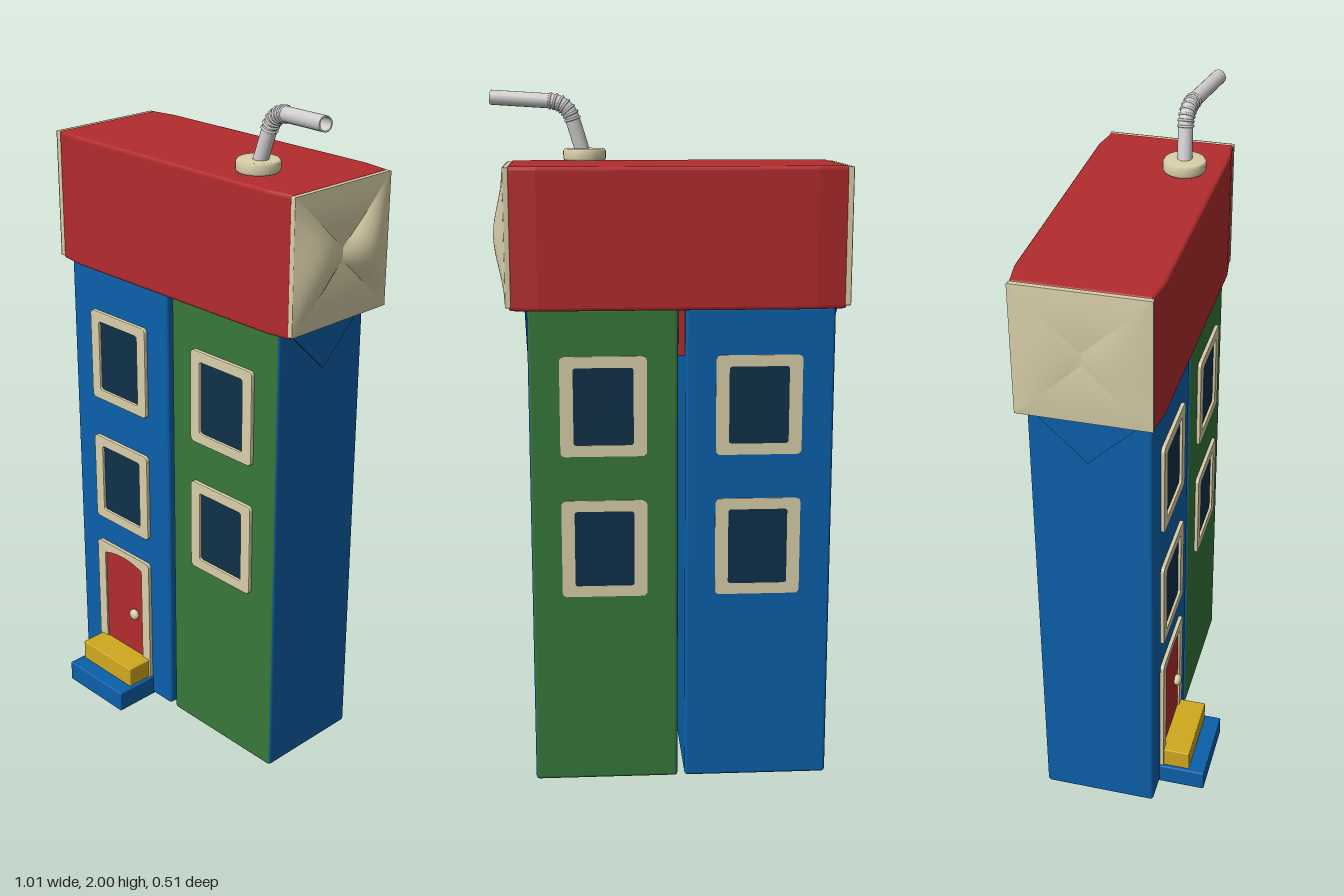
import * as THREE from 'three';
import { RoundedBoxGeometry } from 'three/addons/geometries/RoundedBoxGeometry.js';

const mat = (name, color) => new THREE.MeshStandardMaterial({ name, color });

export function createModel() {
  const red = mat('red', 0xb22b2d), blue = mat('blue', 0x0b60aa), green = mat('green', 0x36783a);
  const cream = mat('cream', 0xd9cfa9), yellow = mat('yellow', 0xd0a91f);
  const glass = mat('dark glass', 0x0f3048), grey = mat('straw grey', 0xd0cdcd);
  grey.side = THREE.DoubleSide;

  const model = new THREE.Group();
  model.name = 'cartonHouse';
  const add = (name, geo, material, parent = model) => {
    const m = new THREE.Mesh(geo, material);
    m.name = name;
    parent.add(m);
    return m;
  };
  // box given by its extents
  const box = (name, x0, x1, y0, y1, z0, z1, material, r = 0.004, parent = model) => {
    const m = add(name, new RoundedBoxGeometry(x1 - x0, y1 - y0, z1 - z0, 2, r), material, parent);
    m.position.set((x0 + x1) / 2, (y0 + y1) / 2, (z0 + z1) / 2);
    return m;
  };
  const roundRect = (S, w, h, r) => {
    const s = new S(), a = w / 2 - r, b = h / 2 - r;
    s.absarc(a, b, r, 0, Math.PI / 2);
    s.absarc(-a, b, r, Math.PI / 2, Math.PI);
    s.absarc(-a, -b, r, Math.PI, Math.PI * 1.5);
    s.absarc(a, -b, r, Math.PI * 1.5, Math.PI * 2);
    s.closePath();
    return s;
  };

  // two tall cartons: one all blue, one green with blue sides
  const zF = 0.115, zB = -0.225;
  box('blueCarton', -0.46, -0.038, 0.003, 1.41, zB, zF, blue, 0.01);
  box('greenCarton', -0.018, 0.402, 0.003, 1.41, zB, zF, [blue, blue, green, green, green, green], 0.01);

  // folded triangular flaps at the top of the carton sides
  const flap = (x, material) => {
    const s = new THREE.Shape();
    s.moveTo(-0.15, 1.41);
    s.lineTo(0, 1.265);
    s.lineTo(0.15, 1.41);
    s.closePath();
    const g = new THREE.ExtrudeGeometry(s, { depth: 0.008, bevelEnabled: false });
    g.translate(0, 0, -0.004).rotateY(Math.PI / 2);
    add('sideFlap', g, material).position.set(x, 0, -0.06);
  };
  flap(-0.462, blue);
  flap(0.404, blue);
  box('redGapFiller', -0.042, -0.014, 1.27, 1.41, -0.2, 0.09, red);

  // windows with raised frames
  const addWindow = (x, y, front) => {
    const w = new THREE.Group();
    w.name = 'window';
    const s = roundRect(THREE.Shape, 0.245, 0.287, 0.014);
    s.holes.push(roundRect(THREE.Path, 0.17, 0.222, 0.008));
    const depth = front ? 0.008 : 0.003;
    const bevel = 0.003;
    add('windowFrame', new THREE.ExtrudeGeometry(s, {
      depth, bevelEnabled: front, bevelThickness: bevel, bevelSize: bevel, bevelOffset: -bevel, bevelSegments: 2,
    }), cream, w);
    add('windowPane', new THREE.PlaneGeometry(0.178, 0.23), glass, w).position.z = 0.0025;
    w.position.set(x, y, front ? zF : zB);
    if (!front) w.rotation.y = Math.PI;
    model.add(w);
  };
  for (const x of [-0.247, 0.193])
    for (const y of [1.132, 0.716])
      for (const front of [true, false]) addWindow(x, y, front);

  // door with arched top, frame and knob
  const arch = (S) => {
    const s = new S();
    s.moveTo(-0.0875, 0.1);
    s.lineTo(0.0875, 0.1);
    s.lineTo(0.0875, 0.447);
    s.quadraticCurveTo(0, 0.478, -0.0875, 0.447);
    s.closePath();
    return s;
  };
  const door = new THREE.Group();
  door.name = 'door';
  const frame = roundRect(THREE.Shape, 0.245, 0.425, 0.014);
  const frameShape = new THREE.Shape(frame.getPoints(6).map((p) => p.add(new THREE.Vector2(0, 0.2725))));
  frameShape.holes.push(arch(THREE.Path));
  add('doorFrame', new THREE.ExtrudeGeometry(frameShape, { depth: 0.011, bevelEnabled: false }), cream, door);
  add('doorPanel', new THREE.ExtrudeGeometry(arch(THREE.Shape), { depth: 0.005, bevelEnabled: false }), red, door);
  add('doorKnob', new THREE.SphereGeometry(0.018, 20, 14), cream, door).position.set(0.052, 0.275, 0.013);
  door.children[2].scale.z = 0.7;
  door.position.set(-0.247, 0, zF);
  model.add(door);

  // doorsteps
  box('lowerStep', -0.373, -0.122, 0, 0.066, 0.1, 0.256, blue);
  box('upperStep', -0.362, -0.132, 0.064, 0.13, 0.1, 0.206, yellow);

  // roof: a carton lying on its side, slightly bulging along its long faces
  const plan = new THREE.Shape([
    [-0.475, -0.115], [-0.4, -0.125], [0.37, -0.125], [0.44, -0.115],
    [0.44, 0.235], [0.37, 0.247], [-0.4, 0.247], [-0.475, 0.235],
  ].map(([x, y]) => new THREE.Vector2(x, y)));
  const roofGeo = new THREE.ExtrudeGeometry(plan, {
    depth: 0.372, bevelThickness: 0.01, bevelSize: 0.01, bevelSegments: 3,
  });
  roofGeo.rotateX(-Math.PI / 2);
  add('roofCarton', roofGeo, red).position.y = 1.416;

  // roof ends: a backing plate with four folded flaps meeting at a short seam
  const roofEnd = (sx, x, bulge) => {
    const end = new THREE.Group();
    end.name = 'roofEnd';
    const H = 0.19, W = 0.186, n = 12, seam = 0.02;
    // puffed flap from its outer edge (t = 0) to the centre (t = 1)
    for (let k = 0; k < 4; k++) {
      const sideways = k < 2, sgn = k % 2 ? -1 : 1, pos = [], idx = [];
      for (let i = 0; i <= n; i++) for (let j = 0; j <= n; j++) {
        const t = i / n, s = (j / n) * 2 - 1;
        const puff = sideways ? bulge * Math.sin(Math.PI * t) * (1 - s * s) : 0;
        const rise = 0.008 + 0.004 * Math.sin(Math.PI * t) + puff;
        const y = sideways ? s * (H * (1 - t) + seam * t) : sgn * (H * (1 - t) + seam * t);
        const z = sideways ? sgn * (W * (1 - t) + 0.003 * t) : s * (W * (1 - t) + 0.003 * t);
        pos.push(sx * rise, y, z);
        if (i < n && j < n) {
          const a = i * (n + 1) + j, b = a + n + 1;
          const flip = sgn * sx * (sideways ? 1 : -1) > 0;
          idx.push(...(flip ? [a, b, a + 1, b, b + 1, a + 1] : [a, a + 1, b, b, a + 1, b + 1]));
        }
      }
      const g = new THREE.BufferGeometry();
      g.setAttribute('position', new THREE.Float32BufferAttribute(pos, 3));
      g.setIndex(idx);
      g.computeVertexNormals();
      add('foldedFlap', g, creamFlap, end);
    }
    box('endPlate', -0.008, 0.008, -H, H, -W, W, cream, 0.003, end);
    end.position.set(x, 1.605, -0.06);
    model.add(end);
  };
  const creamFlap = cream;
  cream.side = THREE.DoubleSide;
  roofEnd(1, 0.452, 0.028);
  roofEnd(-1, -0.489, 0.004);

  // straw collar
  const collar = new THREE.LatheGeometry([
    [0, 0], [0.058, 0], [0.061, 0.006], [0.061, 0.027], [0.056, 0.033], [0, 0.033],
  ].map(([x, y]) => new THREE.Vector2(x, y)), 32);
  add('strawCollar', collar, cream).position.set(0.235, 1.802, 0.03);

  // bent drinking straw, open at the tip
  const V = (x, y, z) => new THREE.Vector3(x, y, z);
  const a = V(0.235, 1.81, 0.03), b = V(0.268, 1.918, 0.024), c = V(0.282, 1.963, 0.022);
  const d = V(0.33, 1.968, 0.031), e = V(0.5, 1.978, 0.067);
  const bend = new THREE.QuadraticBezierCurve3(b, c, d);
  const path = new THREE.CurvePath();
  path.add(new THREE.LineCurve3(a, b));
  path.add(bend);
  path.add(new THREE.LineCurve3(d, e));
  add('straw', new THREE.TubeGeometry(path, 60, 0.021, 20), grey);
  add('strawInside', new THREE.TubeGeometry(new THREE.LineCurve3(d, e), 2, 0.017, 20), grey);
  const rim = add('strawRim', new THREE.RingGeometry(0.017, 0.021, 20), grey);
  rim.position.copy(e);
  rim.lookAt(e.clone().multiplyScalar(2).sub(d));
  // concertina rings round the bend
  for (let i = 0; i <= 6; i++) {
    const ring = add('strawRing', new THREE.TorusGeometry(0.021, 0.0035, 8, 20), grey);
    ring.position.copy(bend.getPointAt(i / 6));
    ring.lookAt(ring.position.clone().add(bend.getTangentAt(i / 6)));
  }
  return model;
}
